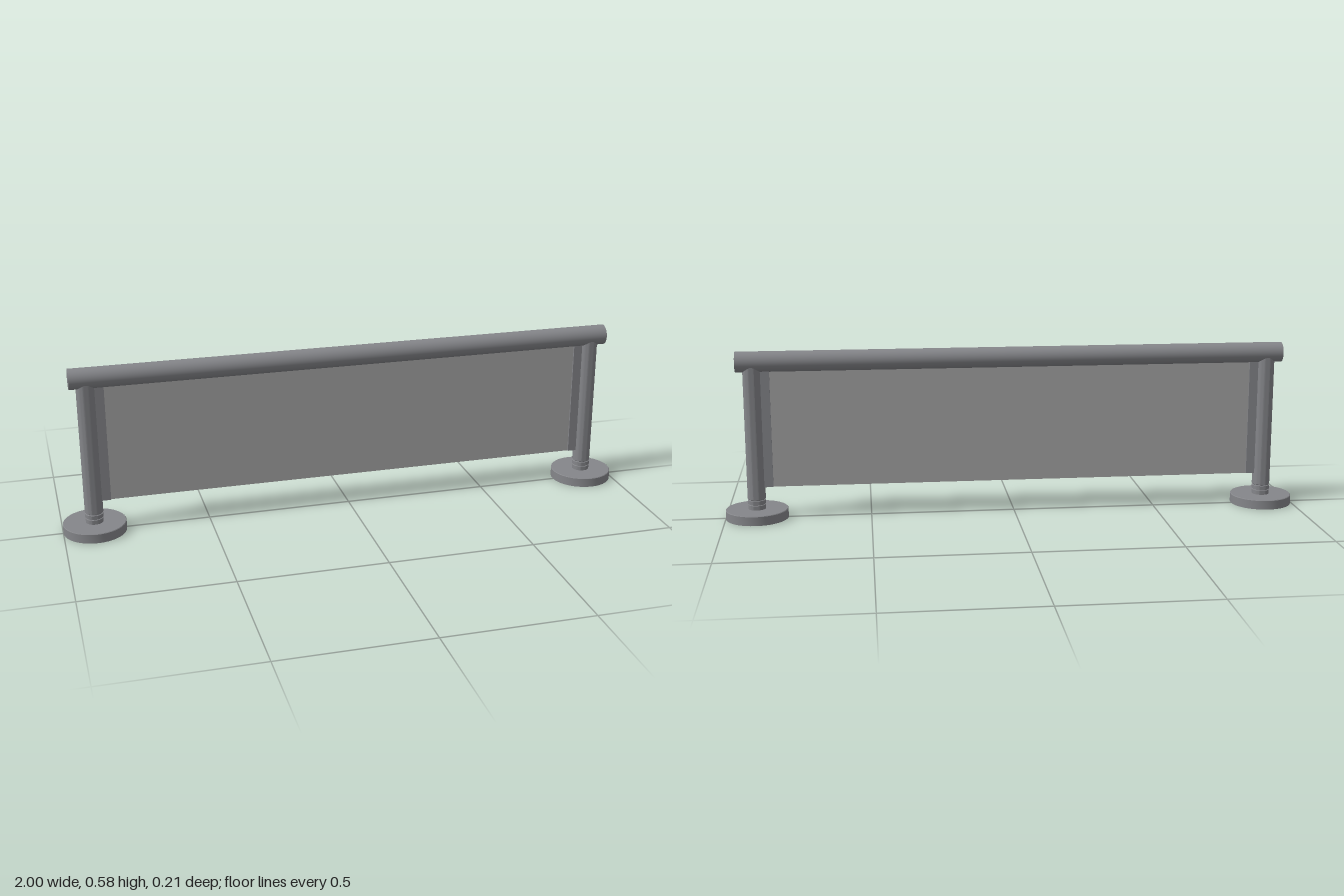
import * as THREE from 'three';
import { toCreasedNormals } from 'three/addons/utils/BufferGeometryUtils.js';

const steel = new THREE.MeshStandardMaterial({ color: 0x85868a, side: THREE.DoubleSide });
steel.name = 'brushedSteel';
const glass = new THREE.MeshStandardMaterial({ color: 0xa4a4a4 });
glass.name = 'greyGlass';

const POST_X = 0.893;
const RAIL_Y = 0.546;
const RAIL_R = 0.035;

function add(parent, name, geometry, material, x = 0, y = 0, z = 0) {
  const mesh = new THREE.Mesh(geometry, material);
  mesh.name = name;
  mesh.position.set(x, y, z);
  parent.add(mesh);
  return mesh;
}

// Turned part from [radius, height] pairs, with sharp edges kept
function turned(points) {
  const profile = points.map(([r, y]) => new THREE.Vector2(r, y));
  return toCreasedNormals(new THREE.LatheGeometry(profile, 40), 0.6);
}

function buildPost(side) {
  const post = new THREE.Group();
  post.name = side > 0 ? 'leftPost' : 'rightPost';
  post.position.x = side * POST_X;

  // Hollow cover flange, open underneath
  add(post, 'baseFlange', turned([
    [0.102, 0], [0.107, 0], [0.107, 0.031], [0.105, 0.033], [0.028, 0.033],
    [0.028, 0.029], [0.102, 0.029], [0.102, 0],
  ]), steel);

  // Neck, collar ring and tube, parted by shallow grooves
  add(post, 'postTube', turned([
    [0, 0.022], [0.03, 0.022], [0.03, 0.048], [0.027, 0.049], [0.027, 0.051],
    [0.031, 0.052], [0.031, 0.065], [0.028, 0.066], [0.028, 0.068],
    [0.031, 0.07], [0.031, 0.535], [0, 0.535],
  ]), steel);

  // Edge channel that grips the panel
  add(post, 'panelChannel', new THREE.BoxGeometry(0.036, 0.41, 0.024), steel, -side * 0.041, 0.315, 0);
  return post;
}

export function createModel() {
  const railing = new THREE.Group();
  railing.name = 'glassRailing';

  for (const side of [-1, 1]) railing.add(buildPost(side));

  // Round top rail
  const rail = add(railing, 'topRail', new THREE.CylinderGeometry(RAIL_R, RAIL_R, 1.894, 40), steel, 0, RAIL_Y, 0);
  rail.rotation.z = Math.PI / 2;

  // Infill panel
  add(railing, 'glassPanel', new THREE.BoxGeometry(1.72, 0.41, 0.012), glass, 0, 0.315, 0);

  return railing;
}
